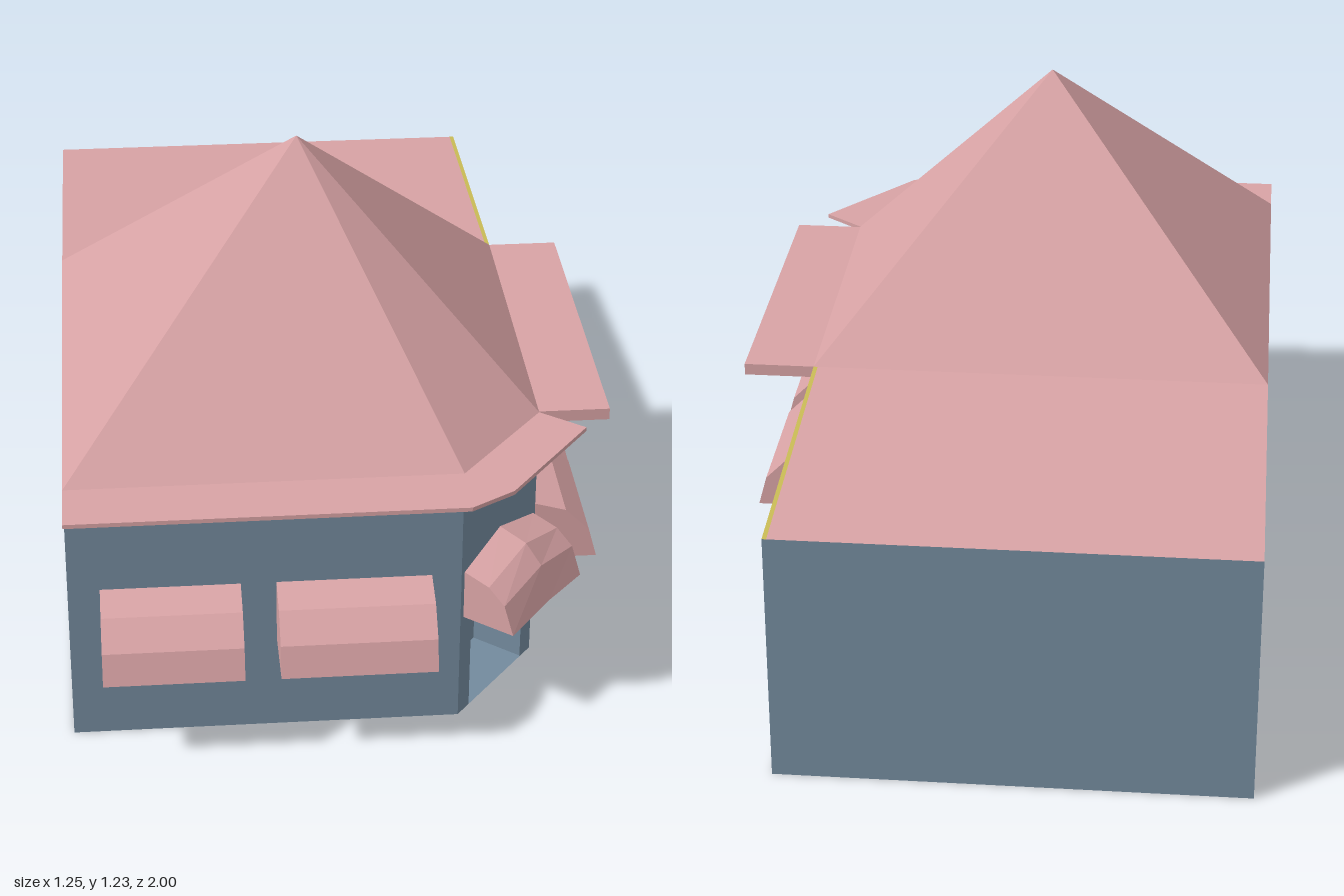
import * as THREE from 'three';

const wallBlue = new THREE.MeshStandardMaterial({ color: 0x738a9d, side: THREE.DoubleSide });
wallBlue.name = 'wall blue';
const roofPink = new THREE.MeshStandardMaterial({ color: 0xd8a3a5, side: THREE.DoubleSide });
roofPink.name = 'roof pink';
const trimYellow = new THREE.MeshStandardMaterial({ color: 0xc9bb55, side: THREE.DoubleSide });
trimYellow.name = 'trim yellow';

// Flat-shaded mesh from convex polygons, each a list of [x, y, z]
function polyMesh(name, polygons, material) {
  const pos = [];
  for (const p of polygons)
    for (let i = 1; i < p.length - 1; i++) pos.push(...p[0], ...p[i], ...p[i + 1]);
  const g = new THREE.BufferGeometry();
  g.setAttribute('position', new THREE.Float32BufferAttribute(pos, 3));
  g.computeVertexNormals();
  const m = new THREE.Mesh(g, material);
  m.name = name;
  return m;
}

// Upright quad between ground points a and b, given left to right from outside
const wall = (a, b, y0, ya, yb = ya) =>
  [[a[0], y0, a[1]], [b[0], y0, b[1]], [b[0], yb, b[1]], [a[0], ya, a[1]]];
const level = (pts, y) => pts.map(([x, z]) => [x, y, z]);

// Flat slab over a ground outline
function slab(name, pts, y0, y1) {
  const sides = pts.map((p, i) => wall(p, pts[(i + 1) % pts.length], y0, y1));
  return polyMesh(name, [...sides, level(pts, y1), level(pts, y0).reverse()], roofPink);
}

// Hollow awning along a wall from a to b; each profile is a list of [outward, height]
function awning(name, a, b, profiles) {
  const dx = b[0] - a[0], dz = b[1] - a[1], len = Math.hypot(dx, dz);
  const n = [-dz / len, dx / len];
  const at = (t, [d, y]) => [a[0] + dx * t + n[0] * d, y, a[1] + dz * t + n[1] * d];
  const last = profiles.length - 1;
  const rows = profiles.map((p, i) => p.map(q => at(i / last, q)));
  const polys = [];
  for (let i = 0; i < last; i++)
    for (let j = 0; j < rows[i].length - 1; j++)
      polys.push([rows[i][j + 1], rows[i + 1][j + 1], rows[i + 1][j], rows[i][j]]);
  const foot = profiles[0][profiles[0].length - 1][1];
  polys.push([at(0, [0, foot]), ...[...rows[0]].reverse()]);
  polys.push([at(1, [0, foot]), ...rows[last]]);
  return polyMesh(name, polys, roofPink);
}

export function createModel() {
  const group = new THREE.Group();
  const H = 0.655, HB = 0.61;
  const frontLeft = [-0.625, 0.84], chamferA = [0.26, 0.84], chamferB = [0.463, 0.59];
  const midRight = [0.46, -0.25], backRight = [0.46, -1], backLeft = [-0.625, -1], midLeft = [-0.625, -0.25];

  // Outer walls and base
  const outline = [frontLeft, chamferA, chamferB, midRight, backRight, backLeft, midLeft];
  group.add(polyMesh('walls', [
    wall(frontLeft, chamferA, 0, H),
    wall(chamferB, midRight, 0, H),
    wall(midRight, backRight, 0, H, HB),
    wall(backRight, backLeft, 0, HB),
    wall(backLeft, midLeft, 0, HB, H),
    wall(midLeft, frontLeft, 0, H),
    level(outline, 0).reverse(),
  ], wallBlue));

  // Corner wall with a recessed doorway
  const doorA = [0.29, 0.803], doorB = [0.435, 0.624], doorTop = 0.31;
  const inA = [doorA[0] - 0.1, doorA[1] - 0.082], inB = [doorB[0] - 0.1, doorB[1] - 0.082];
  group.add(polyMesh('cornerWall', [
    wall(chamferA, doorA, 0, H),
    wall(doorA, doorB, doorTop, H),
    wall(doorB, chamferB, 0, H),
  ], wallBlue));
  group.add(polyMesh('doorRecess', [
    wall(doorA, inA, 0, doorTop),
    wall(inA, inB, 0, doorTop),
    wall(inB, doorB, 0, doorTop),
    level([doorA, doorB, inB, inA], doorTop).reverse(),
    level([doorA, doorB, inB, inA], 0.002),
  ], wallBlue));

  // Pointed roof over the front part
  const apex = [-0.07, 1.23, 0.285];
  const rim = level([frontLeft, chamferA, chamferB, midRight, midLeft], H);
  group.add(polyMesh('pointedRoof', rim.map((p, i) => [p, rim[(i + 1) % rim.length], apex]), roofPink));

  // Gently sloping rear roof with a thin edge strip
  const slope = (x0, x1) => [[x0, H, -0.25], [x1, H, -0.25], [x1, HB, -1], [x0, HB, -1]];
  group.add(polyMesh('rearRoof', [slope(-0.625, 0.45)], roofPink));
  group.add(polyMesh('rearRoofEdge', [slope(0.45, 0.46)], trimYellow));

  // Eaves
  group.add(slab('frontEave', [[-0.625, 0.98], [0.26, 0.98], chamferA, frontLeft], 0.645, H));
  group.add(slab('cornerEave', [chamferA, [0.26, 0.98], [0.36, 0.92], [0.56, 0.665], chamferB], 0.645, H));
  group.add(slab('rightEave', [[0.46, 0.587], [0.627, 0.587], [0.627, -0.25], [0.46, -0.25]], 0.627, H));

  // Window awnings
  const profile = [[0, 0.39], [0.08, 0.367], [0.137, 0.31], [0.157, 0.237]];
  for (const [x0, x1] of [[-0.553, -0.238], [-0.158, 0.193]])
    group.add(awning('frontAwning', [x0, 0.84], [x1, 0.84], [profile, profile]));
  for (const [z0, z1] of [[0.56, 0.25], [0.17, -0.185]])
    group.add(awning('rightAwning', [0.462, z0], [0.462, z1], [profile, profile]));

  // Door awning, raised in the middle
  const end = [[0, 0.387], [0.065, 0.37], [0.107, 0.335], [0.132, 0.265]];
  const lift = [0.043, 0.04, 0.03, 0.015];
  const middle = end.map(([d, y], i) => [d + 0.005 * Math.sign(i), y + lift[i]]);
  group.add(awning('doorAwning', [0.268, 0.83], [0.458, 0.597], [end, middle, end]));

  return group;
}
